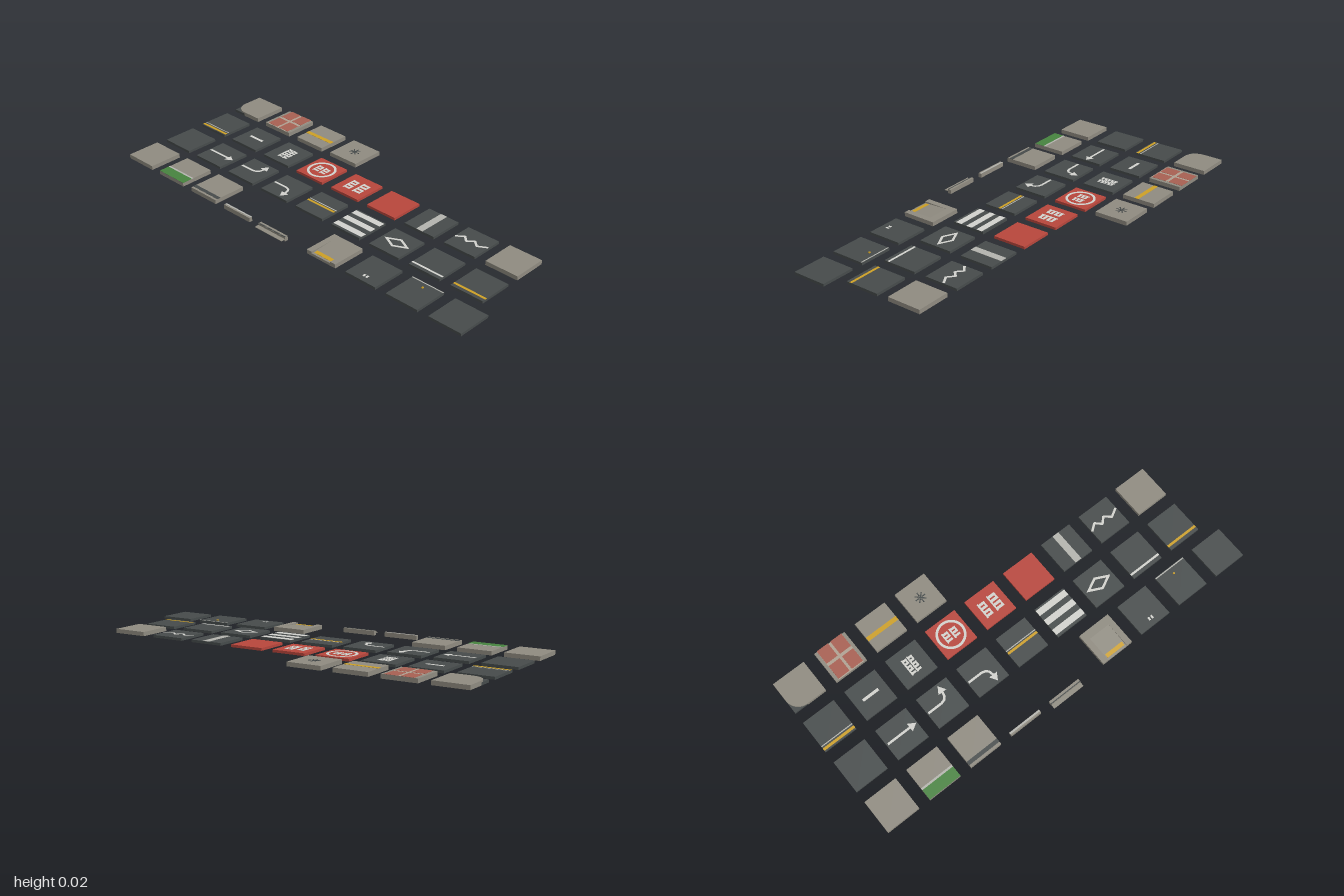
import * as THREE from 'three';

const mat = (name, color, side = THREE.DoubleSide) => {
  const m = new THREE.MeshStandardMaterial({ color, side });
  m.name = name;
  return m;
};

export function createModel() {
  const root = new THREE.Group();
  root.name = 'streetTileSet';
  const asphalt = mat('asphalt', 0x464b4b), concrete = mat('concrete', 0x8f8b80);
  const white = mat('white paint', 0xd2d2cd), yellow = mat('yellow paint', 0xcda026);
  const red = mat('red paving', 0xb8463c), brick = mat('brick', 0xa86052);
  const grass = mat('grass', 0x47843f), mortar = mat('mortar', 0xb0a292);
  const pale = mat('pale concrete', 0xb4b4ae);

  // Marking layouts use 1/30.6 of a tile as their unit, u to the right, v to the front
  const U = 0.00535, T = 30.6, STEP = 0.2203, ROAD = 0.012, WALK = 0.0195, PAINT = 0.0008;
  const rowZ = [-0.343, -0.123, 0.1, 0.321];

  function add(parent, name, geo, material, x = 0, y = 0, z = 0) {
    const m = new THREE.Mesh(geo, material);
    m.name = name;
    m.position.set(x, y, z);
    parent.add(m);
    return m;
  }

  // Box that is open underneath (and optionally on top)
  function shell(parent, name, material, u0, u1, v0, v1, h, lid = true) {
    const g = new THREE.BoxGeometry((u1 - u0) * U, h, (v1 - v0) * U);
    const idx = [...g.index.array];
    g.setIndex(idx.filter((_, i) => !(i >= 18 && i < 24) && (lid || !(i >= 12 && i < 18))));
    return add(parent, name, g, material, (u0 + u1) / 2 * U, h / 2, (v0 + v1) / 2 * U);
  }

  function tileGroup(name, col, row) {
    const g = new THREE.Group();
    g.name = name;
    g.position.set(-0.918 + STEP * col, 0, rowZ[row]);
    g.userData.h = ROAD;
    root.add(g);
    return g;
  }

  function tile(name, col, row, material, h = ROAD) {
    const g = tileGroup(name, col, row);
    shell(g, 'slab', material, -T / 2, T / 2, -T / 2, T / 2, h);
    g.userData.h = h;
    return g;
  }

  // Thin painted rectangle centred at u, v
  function rect(g, name, material, u, v, w, d, turn = 0) {
    const m = add(g, name, new THREE.BoxGeometry(w * U, PAINT, d * U), material, u * U, g.userData.h + PAINT / 2, v * U);
    m.rotation.y = turn;
    return m;
  }

  // Thin painted outline from u, v points
  function paint(g, name, shape, material = white) {
    const geo = new THREE.ExtrudeGeometry(shape, { depth: PAINT, bevelEnabled: false, curveSegments: 24 });
    geo.rotateX(-Math.PI / 2);
    geo.scale(U, 1, U);
    return add(g, name, geo, material, 0, g.userData.h, 0);
  }
  const poly = pts => new THREE.Shape(pts.map(([u, v]) => new THREE.Vector2(u, -v)));

  function strokeLine(g, name, pts, w) {
    for (let i = 1; i < pts.length; i++) {
      const [a, b] = pts[i - 1], [c, d] = pts[i];
      rect(g, name, white, (a + c) / 2, (b + d) / 2, Math.hypot(c - a, d - b) + w * 0.4, w, -Math.atan2(d - b, c - a));
    }
  }

  // Block of small bars standing for an abstract road marking
  function barBlock(g, u, v, w, d, n) {
    const s = d / n;
    rect(g, 'markingSpine', white, u - w / 2 + 0.7, v, 1.4, d);
    for (let i = 0; i < n; i++) {
      rect(g, 'markingBar', white, u + 0.3, v - d / 2 + s * (i + 0.5), w - 0.6, s * 0.62);
      if (i % 2) rect(g, 'markingLink', white, u + w / 2 - 0.8, v - d / 2 + s * i, 1.4, s);
    }
  }

  // ---- Back row: pavement variants
  const corner = tileGroup('roundedCornerTile', 0, 0);
  const H = T / 2, R = 12.5;
  const cs = new THREE.Shape();
  cs.moveTo(-H, H); cs.lineTo(H, H); cs.lineTo(H, -H); cs.lineTo(-H + R, -H);
  cs.absarc(-H + R, -H + R, R, -Math.PI / 2, -Math.PI, true);
  cs.closePath();
  const cg = new THREE.ExtrudeGeometry(cs, { depth: 0.004, bevelEnabled: false, curveSegments: 12 });
  cg.rotateX(-Math.PI / 2);
  cg.scale(U, 1, U);
  add(corner, 'roundedPavement', cg, concrete, 0, WALK - 0.004, 0);
  shell(corner, 'pavementSkirt', concrete, -H, H, -H, H - R, WALK - 0.003, false);
  shell(corner, 'pavementSkirt', concrete, -H + R, H, H - R, H, WALK - 0.003, false);
  const wall = new THREE.CylinderGeometry(R * U, R * U, WALK, 12, 1, true, -Math.PI / 2, Math.PI / 2);
  add(corner, 'roundedKerb', wall, concrete, (-H + R) * U, WALK / 2, (H - R) * U);
  shell(corner, 'roadCorner', asphalt, -H, -H + R, H - R, H, ROAD);

  const bricks = tile('brickTile', 1, 0, concrete, WALK);
  rect(bricks, 'mortarBed', mortar, 0, 0, 25, T - 0.2);
  bricks.userData.h += PAINT;
  for (const a of [-1, 1]) for (const b of [-1, 1]) rect(bricks, 'brickPanel', brick, a * 6.8, b * 8.2 - 0.7, 11.2, 13.6);

  const tactile = tile('tactileTile', 2, 0, concrete, WALK);
  rect(tactile, 'tactileStrip', yellow, 0, 2, T, 4);

  const grate = tile('grateTile', 3, 0, concrete, WALK);
  shell(grate, 'pitWall', concrete, -7, 7, -7, 7, WALK - 0.001, false);
  for (let i = 0; i < 8; i++) {
    const a = i * Math.PI / 4;
    rect(grate, 'grateSlot', asphalt, Math.cos(a) * 3.2, -Math.sin(a) * 3.2, 3.6, 1, a);
  }
  rect(grate, 'grateCentre', asphalt, 0, 0, 2, 2);

  // ---- Second row: road markings
  const edge = tile('edgeLineTile', 0, 1, asphalt);
  rect(edge, 'paleLine', pale, 0, 10, T, 0.9);
  rect(edge, 'yellowLine', yellow, 0, 13, T, 2.4);

  rect(tile('dashTile', 1, 1, asphalt), 'dash', white, 0, 0, 15.5, 2.6);

  const block = tile('barMarkingTile', 2, 1, asphalt);
  barBlock(block, -2.7, 0.5, 4.8, 16, 5);
  barBlock(block, 2.7, 0.5, 4.8, 16, 5);

  const ring = tile('redRingTile', 3, 1, red);
  const disc = new THREE.Shape().absarc(0, 0, 12.8, 0, Math.PI * 2);
  disc.holes.push(new THREE.Path().absarc(0, 0, 10.6, 0, Math.PI * 2, true));
  paint(ring, 'ring', disc);
  barBlock(ring, -3.8, 0, 6, 10, 3);
  barBlock(ring, 3.8, 0, 6, 10, 3);

  const redBars = tile('redBarMarkingTile', 4, 1, red);
  barBlock(redBars, -5.5, 0.5, 7, 15, 4);
  barBlock(redBars, 5.5, 0, 8, 16, 4);

  tile('plainRedTile', 5, 1, red);
  rect(tile('stopLineTile', 6, 1, asphalt), 'wideLine', pale, 0.3, 0, 6.4, T);
  strokeLine(tile('zigzagTile', 7, 1, asphalt), 'zigzag',
    [[-14.5, 2], [-8.5, -2.5], [-3.5, 2.3], [1.5, -2.5], [7, 2.3], [14.5, -2]], 2);
  tile('plainPavementTile', 8, 1, concrete, WALK);

  // ---- Third row: arrows, crossing and lines
  tile('plainRoadTile', 0, 2, asphalt);
  const ahead = tile('straightArrowTile', 1, 2, asphalt);
  rect(ahead, 'arrowShaft', white, -3, 0, 22, 2);
  paint(ahead, 'arrowHead', poly([[8, -4], [14.5, 0], [8, 4]]));

  for (const [col, s, name] of [[2, -1, 'leftArrowTile'], [3, 1, 'rightArrowTile']]) {
    const g = tile(name, col, 2, asphalt);
    strokeLine(g, 'arrowShaft', [[-14, 0], [-1, 0], [2.5, s * 1], [4.5, s * 3.2], [5.3, s * 7]], 2);
    paint(g, 'arrowHead', poly(s < 0 ? [[1.3, -7], [5.3, -13.5], [9.3, -7]] : [[9.3, 7], [5.3, 13.5], [1.3, 7]]));
  }

  const centre = tile('centreLineTile', 4, 2, asphalt);
  rect(centre, 'paleLine', pale, 0, -1.6, T, 0.9);
  rect(centre, 'yellowLine', yellow, 0, 0.9, T, 2.2);

  const zebra = tile('crossingTile', 5, 2, asphalt);
  for (const v of [-11, -0.5, 10.3]) rect(zebra, 'crossingBar', white, 0, v, T, 5.6);

  const diamond = tile('diamondTile', 6, 2, asphalt);
  const ds = poly([[-13, 0], [0, 6.5], [13, 0], [0, -6.5]]);
  ds.holes.push(new THREE.Path([[-8.5, 0], [0, 4.2], [8.5, 0], [0, -4.2]].map(p => new THREE.Vector2(...p))));
  paint(diamond, 'diamond', ds);

  rect(tile('whiteEdgeTile', 7, 2, asphalt), 'whiteLine', white, 0, 11.3, T, 1.9);
  rect(tile('yellowEdgeTile', 8, 2, asphalt), 'yellowLine', yellow, 0, 11.3, T, 2.2);

  // ---- Front row: pavements, kerbs, ramp and road pieces
  tile('pavementTile', 0, 3, concrete, WALK);

  const verge = tile('grassVergeTile', 1, 3, concrete, WALK - 0.001);
  rect(verge, 'kerbLine', pale, 0, 4.8, T, 1.8);
  rect(verge, 'grassStrip', grass, 0, 10.5, T, 9.6);

  const drain = tile('drainTile', 2, 3, concrete, WALK);
  rect(drain, 'drainChannel', asphalt, 0, 11.4, T, 3.4);

  const kerb = tileGroup('kerbPiece', 3, 3);
  shell(kerb, 'kerbStone', concrete, -H, H, 12.3, H, 0.021);
  kerb.userData.h = 0.021;
  rect(kerb, 'kerbTop', pale, 0, 13.2, T, 1.6);

  const gutter = tileGroup('kerbAndGutterPiece', 4, 3);
  shell(gutter, 'kerbStone', concrete, -H, H, 12.3, H, 0.0205);
  add(gutter, 'gutterLip', new THREE.BoxGeometry(T * U, 0.002, 0.021), concrete, 0, 0.0105, 0.0925);
  gutter.userData.h = 0.0205;
  rect(gutter, 'gutterShadowGap', asphalt, 0, 14.8, T, 0.8);

  // Dropped kerb: two flanks, a back strip and a slope between them
  const RX = 5.333;
  const ramp = tileGroup('droppedKerbTile', RX, 3);
  shell(ramp, 'backStrip', concrete, -H, H, -H, -8, WALK);
  shell(ramp, 'flank', concrete, -H, -10, -8, H, WALK);
  shell(ramp, 'flank', concrete, 10, H, -8, H, WALK);
  const slope = shell(ramp, 'slope', concrete, -10, 10, -8, H, WALK);
  const p = slope.geometry.attributes.position;
  for (let i = 0; i < p.count; i++) if (p.getY(i) > 0 && p.getZ(i) > 0) p.setY(i, p.getY(i) - 0.007);
  slope.geometry.computeVertexNormals();
  ramp.userData.h = 0.0141;
  rect(ramp, 'tactileStrip', yellow, 0, 11.7, 18, 3.6).rotation.x = 0.056;

  const small = tile('smallMarkTile', RX + 1, 3, asphalt);
  rect(small, 'smallMark', white, -1.4, 9, 1.8, 3);
  rect(small, 'smallMark', white, 1.6, 9, 1.8, 3);

  const stud = tile('studTile', RX + 2, 3, asphalt);
  rect(stud, 'paleEdge', pale, 0, -14.4, T, 1);
  add(stud, 'roadStud', new THREE.BoxGeometry(0.008, 0.004, 0.008), yellow, 0, ROAD + 0.002, -0.046);

  tile('endRoadTile', RX + 3, 3, asphalt);
  return root;
}
